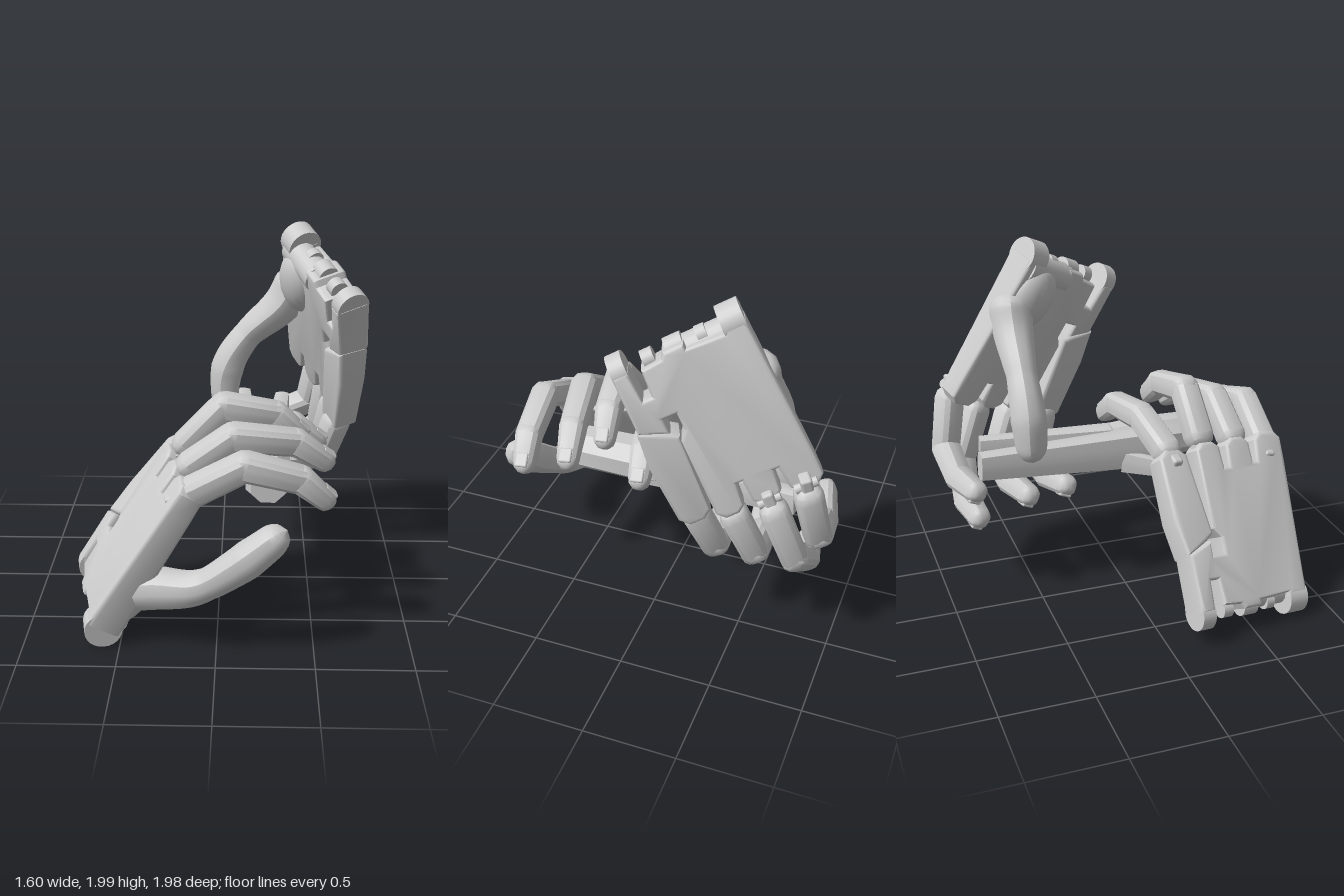
import * as THREE from 'three';
import { toCreasedNormals } from 'three/addons/utils/BufferGeometryUtils.js';
import { RoundedBoxGeometry } from 'three/addons/geometries/RoundedBoxGeometry.js';

const mat = new THREE.MeshStandardMaterial({ color: 0xcccccc });
const V = (a) => new THREE.Vector3(...a);

function add(parent, geo, name) {
  const m = new THREE.Mesh(geo, mat);
  m.name = name;
  parent.add(m);
  return m;
}

// Closed skin over rings { p, t, r }; power > 2 squares off the section
function loft(rings, side, power, aspect = 1, sides = 16) {
  const pos = [], idx = [];
  rings.forEach(({ p, t, r }, i) => {
    const a = side.clone().addScaledVector(t, -side.dot(t)).normalize();
    const b = t.clone().cross(a);
    for (let j = 0; j < sides; j++) {
      const th = ((j + 0.5) / sides) * Math.PI * 2, c = Math.cos(th), s = Math.sin(th);
      const k = r / Math.pow(Math.abs(c) ** power + Math.abs(s) ** power, 1 / power);
      pos.push(...p.clone().addScaledVector(a, c * k).addScaledVector(b, s * k * aspect).toArray());
      if (i < rings.length - 1) {
        const n = (j + 1) % sides, q = i * sides;
        idx.push(q + j, q + n, q + sides + n, q + j, q + sides + n, q + sides + j);
      }
    }
  });
  const g = new THREE.BufferGeometry();
  g.setAttribute('position', new THREE.Float32BufferAttribute(pos, 3));
  g.setIndex(idx);
  return toCreasedNormals(g, 0.6);
}

// One finger bone with rounded ends
function bone(p, q, r0, r1, side) {
  const t = q.clone().sub(p).normalize(), rings = [];
  const ring = (end, r, deg, dir) => {
    const s = Math.sin(deg * Math.PI / 180), c = Math.max(0.02, Math.cos(deg * Math.PI / 180));
    rings.push({ p: end.clone().addScaledVector(t, dir * s * r), t, r: r * c });
  };
  [90, 60, 30, 0].forEach((deg) => ring(p, r0, deg, -1));
  [0, 30, 60, 90].forEach((deg) => ring(q, r1, deg, 1));
  return loft(rings, side, 3.2);
}

// Turns a mesh so its y follows t and its x follows the given side
function place(mesh, p, t, side) {
  const x = side.clone().addScaledVector(t, -side.dot(t)).normalize();
  mesh.quaternion.setFromRotationMatrix(new THREE.Matrix4().makeBasis(x, t, x.clone().cross(t)));
  mesh.position.copy(p);
}

function finger(hand, pts, side, name, backSign) {
  const g = new THREE.Group();
  g.name = name;
  const p = pts.map(V);
  const r = [0.076, 0.075, 0.071, 0.059];
  for (let i = 0; i < 3; i++) {
    const a = p[i].clone(), t = p[i + 1].clone().sub(a).normalize();
    if (i === 0) a.addScaledVector(t, 0.075);
    add(g, bone(a, p[i + 1], r[i], r[i + 1] * 0.97, side), ['proximalBone', 'middleBone', 'fingertip'][i]);
  }
  // Knuckle hinge: narrow tongue and cross pin
  const t0 = p[1].clone().sub(p[0]).normalize();
  place(add(g, new RoundedBoxGeometry(0.06, 0.14, 0.08, 2, 0.015), 'knuckleTongue'), p[0].clone().addScaledVector(t0, 0.01), t0, side);
  const pin = add(g, new THREE.CylinderGeometry(0.025, 0.025, 0.12, 12), 'knucklePin');
  pin.position.copy(p[0]);
  pin.quaternion.setFromUnitVectors(new THREE.Vector3(0, 1, 0), side);
  // Nail plate on the back of the tip
  const t = p[3].clone().sub(p[2]).normalize();
  const x = side.clone().addScaledVector(t, -side.dot(t)).normalize();
  const out = x.clone().cross(t).multiplyScalar(backSign);
  place(add(g, new RoundedBoxGeometry(0.07, 0.08, 0.02, 2, 0.009), 'nail'),
    p[3].clone().addScaledVector(out, 0.053).addScaledVector(t, -0.01), t, side);
  hand.add(g);
}

function thumb(hand, pts, radii, side) {
  const curve = new THREE.CatmullRomCurve3(pts.map(V)), rings = [], N = 40;
  const radiusAt = (s) => {
    const f = s * (radii.length - 1), i = Math.min(Math.floor(f), radii.length - 2);
    return THREE.MathUtils.lerp(radii[i], radii[i + 1], f - i);
  };
  for (let i = 0; i <= N; i++) {
    const s = i / N, e = Math.min(1, Math.min(s, 1 - s) / 0.1);
    const cap = Math.max(0.02, Math.sqrt(1 - (1 - e) ** 2));
    rings.push({ p: curve.getPointAt(s), t: curve.getTangentAt(s), r: radiusAt(s) * cap });
  }
  add(hand, loft(rings, side, 2.3, 1, 12), 'thumb');
}

function slab(points, taper) {
  const s = new THREE.Shape(points.map(([x, y]) => new THREE.Vector2(x, y)));
  const g = new THREE.ExtrudeGeometry(s, {
    depth: 0.13, bevelEnabled: true, bevelThickness: 0.025, bevelSize: 0.02, bevelOffset: -0.02, bevelSegments: 3,
  });
  g.translate(0, 0, -0.065);
  const p = g.attributes.position;
  for (let i = 0; i < p.count; i++) p.setZ(i, p.getZ(i) * (1.08 - taper * Math.max(0, p.getY(i))));
  return toCreasedNormals(g, 0.6);
}

// Palm in its own frame: x across to the little finger, y to the knuckles
function palm(hand, origin, u, v, backSign) {
  const y = V(v).normalize(), x = V(u);
  x.addScaledVector(y, -x.dot(y)).normalize();
  const g = new THREE.Group();
  g.name = 'palm';
  g.position.copy(V(origin));
  g.quaternion.setFromRotationMatrix(new THREE.Matrix4().makeBasis(x, y, x.clone().cross(y)));
  add(g, slab([
    [-0.36, 0], [-0.24, 0], [-0.24, 0.02], [-0.05, 0.01], [-0.05, -0.02], [0.06, -0.02], [0.08, 0.01],
    [0.19, 0.02], [0.2, 0.16], [0.245, 0.16], [0.25, 0], [0.335, 0], [0.345, 0.31], [0.2, 0.37], [0.2, 0.29],
    [0.13, 0.29], [0.13, 0.38], [0.17, 0.43], [0.18, 0.86], [0.14, 0.9], [0.07, 0.9], [0.03, 0.87], [0.02, 0.75],
    [-0.01, 0.75], [-0.015, 0.87], [-0.06, 0.91], [-0.13, 0.91], [-0.17, 0.87], [-0.175, 0.76], [-0.2, 0.76],
    [-0.21, 0.88], [-0.25, 0.92], [-0.35, 0.92], [-0.39, 0.88], [-0.39, 0.76],
  ], 0.35), 'palmPlate');
  // Hinged strip under the little finger, tilted towards the palm
  const strip = add(g, slab([[0.165, 0.4], [0.22, 0.36], [0.35, 0.3], [0.38, 0.5], [0.375, 0.84], [0.33, 0.89], [0.25, 0.89], [0.2, 0.85]], 0.35), 'outerPalmStrip');
  strip.rotation.x = -backSign * 0.12;
  strip.position.z = backSign * 0.03;
  // Round wrist lugs, small wrist tabs and the roll below the thumb
  for (const [c, w, r, h, z] of [
    [-0.3, 0.115, 0.098, 0, 0], [0.292, 0.08, 0.092, 0, 0], [-0.14, 0.05, 0.05, 0, 0],
    [0, 0.09, 0.06, 0, 0], [0.14, 0.06, 0.05, 0, 0], [-0.17, 0.3, 0.085, 0.05, -0.025],
  ]) {
    const lug = add(g, new THREE.CylinderGeometry(r, r, w, 24), 'wristLug');
    lug.rotation.z = Math.PI / 2;
    lug.position.set(c, h, backSign * z);
  }
  // Fleshy pad at the root of the thumb
  const pad = add(g, new THREE.SphereGeometry(0.15, 20, 14), 'thumbPad');
  pad.scale.set(0.95, 1.3, 0.7);
  pad.position.set(-0.21, 0.2, -backSign * 0.06);
  hand.add(g);
  return x;
}

function buildHand(d) {
  const hand = new THREE.Group();
  hand.name = d.name;
  const side = palm(hand, d.origin, d.u, d.v, d.back);
  ['indexFinger', 'middleFinger', 'ringFinger', 'littleFinger'].forEach((n, i) => finger(hand, d.fingers[i], side, n, d.back));
  thumb(hand, d.thumb, [0.12, 0.105, 0.08, 0.094, 0.075], side);
  return hand;
}

export function createModel() {
  const model = new THREE.Group();
  model.name = 'pairOfMechanicalHands';
  model.add(buildHand({
    name: 'lowerHand', origin: [-0.645, 0.148, 0.47], u: [-0.1, 0.09, -0.6], v: [0.44, 0.74, 0], back: -1,
    fingers: [
      [[-0.19, 0.83, 0.77], [0.14, 1.01, 0.78], [0.42, 0.93, 0.75], [0.54, 0.82, 0.73]],
      [[-0.2, 0.88, 0.58], [0.08, 1.08, 0.56], [0.4, 1.03, 0.49], [0.55, 0.92, 0.46]],
      [[-0.22, 0.91, 0.37], [0.03, 1.175, 0.36], [0.3, 1.12, 0.32], [0.42, 1.01, 0.3]],
      [[-0.24, 0.88, 0.19], [0.1, 1.01, 0.13], [0.4, 0.98, 0.08], [0.53, 0.88, 0.06]],
    ],
    thumb: [[-0.5, 0.28, 0.66], [-0.32, 0.325, 0.75], [-0.1, 0.37, 0.83], [0.1, 0.51, 0.88], [0.35, 0.73, 0.91]],
  }));
  model.add(buildHand({
    name: 'upperHand', origin: [0.565, 1.77, -0.16], u: [0.24, -0.27, 0.44], v: [0.06, -0.77, -0.415], back: 1,
    fingers: [
      [[0.6, 1.14, -0.85], [0.53, 0.79, -0.91], [0.3, 0.7, -0.89], [0.06, 0.71, -0.84]],
      [[0.64, 1.03, -0.68], [0.6, 0.67, -0.81], [0.4, 0.5, -0.83], [0.21, 0.47, -0.8]],
      [[0.67, 0.97, -0.48], [0.61, 0.66, -0.6], [0.36, 0.6, -0.58], [0.12, 0.61, -0.53]],
      [[0.68, 0.93, -0.28], [0.59, 0.63, -0.38], [0.33, 0.61, -0.36], [0.06, 0.67, -0.33]],
    ],
    thumb: [[0.45, 1.7, -0.52], [0.35, 1.51, -0.53], [0.14, 1.31, -0.54], [0.03, 1.12, -0.54], [0.01, 0.86, -0.53]],
  }));

  // Object held between the hands: faceted grip with two tapering bars and a short spur
  const held = new THREE.Group();
  held.name = 'heldTool';
  const X = new THREE.Vector3(1, 0, 0), t = new THREE.Vector3(0, 0, -1);
  add(held, loft([[0.56, 0.002], [0.56, 0.095], [0.48, 0.125], [0.2, 0.13], [0, 0.115], [0, 0.002]]
    .map(([z, r]) => ({ p: V([0.26, 0.805, z]), t, r })), X, 2, 0.95, 8), 'grip');
  for (const [from, to, r0, r1, tall] of [
    [[0.16, 0.79, 0.2], [0.12, 0.83, -0.8], 0.075, 0.05, 1.5],
    [[0.28, 0.79, 0.2], [0.36, 0.83, -0.75], 0.07, 0.045, 1.5],
    [[0.12, 0.74, 0.03], [-0.02, 0.71, 0.27], 0.04, 0.03, 1.6],
  ]) {
    const p = V(from), q = V(to), dir = q.clone().sub(p).normalize();
    add(held, loft([
      { p, t: dir, r: 0.002 }, { p, t: dir, r: r0 }, { p: q, t: dir, r: r1 }, { p: q, t: dir, r: 0.002 },
    ], X, 6, tall, 12), 'bar');
  }
  model.add(held);
  return model;
}
